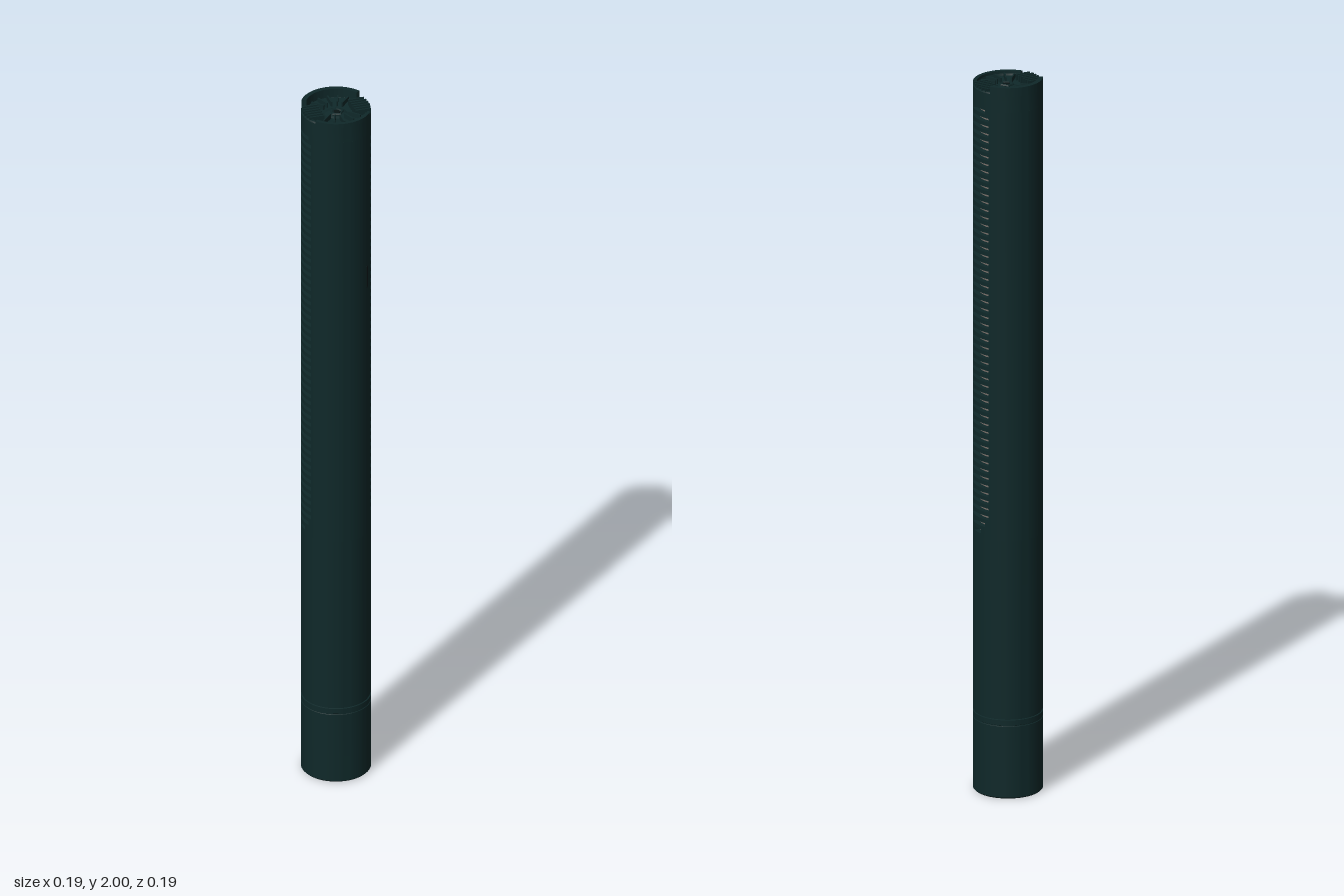
import * as THREE from 'three';
import { mergeGeometries, toCreasedNormals } from 'three/addons/utils/BufferGeometryUtils.js';

const R = 0.093, INNER = 0.079;
const SLOT_BOTTOM = 0.725, SLOT_TOP = 1.93, SLOTS = 56;
const SLOT_ANGLE = Math.asin(0.042 / R);

const bodyMat = new THREE.MeshStandardMaterial({ color: 0x0f2829 });
bodyMat.name = 'dark teal body';
const meshMat = new THREE.MeshStandardMaterial({ color: 0x7a706a });
meshMat.name = 'grey inner screen';
const darkMat = new THREE.MeshStandardMaterial({ color: 0x081415 });
darkMat.name = 'dark recess';

// Curved wall piece; angle 0 is +x and a quarter turn is the back (-z)
function sector(rIn, rOut, a0, a1, y, h, seg) {
  const s = new THREE.Shape();
  s.absarc(0, 0, rOut, a0, a1, false);
  s.absarc(0, 0, rIn, a1, a0, true);
  const g = new THREE.ExtrudeGeometry(s, { depth: h, bevelEnabled: false, curveSegments: seg });
  g.rotateX(-Math.PI / 2);
  g.translate(0, y, 0);
  return toCreasedNormals(g, 0.6);
}

function lathe(points, seg = 64) {
  return toCreasedNormals(new THREE.LatheGeometry(points.map(p => new THREE.Vector2(...p)), seg), 0.5);
}

export function createModel() {
  const root = new THREE.Group();
  root.name = 'slottedTube';
  const add = (name, geo, mat) => {
    const m = new THREE.Mesh(geo, mat);
    m.name = name;
    root.add(m);
    return m;
  };

  // Solid lower handle with two fine joint grooves
  add('handle', lathe([
    [0, 0], [R - 0.004, 0], [R, 0.004],
    [R, 0.203], [R - 0.0015, 0.204], [R - 0.0015, 0.206], [R, 0.207],
    [R, 0.221], [R - 0.003, 0.222], [R - 0.003, 0.227], [R, 0.228],
    [R, SLOT_BOTTOM], [0, SLOT_BOTTOM],
  ]), bodyMat);

  // Screen behind the slots
  const screen = new THREE.CylinderGeometry(INNER, INNER, SLOT_TOP - SLOT_BOTTOM, 48, 1, true);
  screen.translate(0, (SLOT_TOP + SLOT_BOTTOM) / 2, 0);
  add('innerScreen', screen, meshMat);

  // Front and back walls of the slotted section
  const wall = (name, turn) => add(name, sector(INNER - 0.002, R, turn + SLOT_ANGLE,
    turn + Math.PI - SLOT_ANGLE, SLOT_BOTTOM, SLOT_TOP - SLOT_BOTTOM, 24), bodyMat);
  wall('backWall', 0);
  wall('frontWall', Math.PI);

  // Ribs between the slots; the end slots are narrower
  const pitch = (SLOT_TOP - SLOT_BOTTOM) / SLOTS;
  for (const [name, turn] of [['leftRibs', 0], ['rightRibs', Math.PI]]) {
    const parts = [];
    for (let i = 0; i < SLOTS; i++) {
      const y = SLOT_BOTTOM + i * pitch;
      parts.push(sector(INNER - 0.002, R, turn - SLOT_ANGLE, turn + SLOT_ANGLE, y, pitch * 0.5, 8));
      const open = i === 0 ? 0.4 : i === 1 || i === SLOTS - 1 ? 0.75 : 1;
      if (open < 1) {
        for (const [a, b] of [[-1, -open], [open, 1]]) {
          parts.push(sector(INNER - 0.002, R, turn + a * SLOT_ANGLE, turn + b * SLOT_ANGLE,
            y + pitch * 0.5, pitch * 0.5, 4));
        }
      }
    }
    add(name, mergeGeometries(parts), bodyMat);
  }

  // Head collar with a recessed end face
  add('headCollar', lathe([
    [0, SLOT_TOP], [R, SLOT_TOP], [R, 1.979], [R - 0.003, 1.982],
    [R - 0.009, 1.982], [R - 0.012, 1.974], [0.03, 1.97], [0.018, 1.976], [0, 1.976],
  ]), bodyMat);

  // Raised rim around the back of the end face
  add('backRim', sector(0.08, R, Math.PI / 6, Math.PI * 5 / 6, 1.975, 0.025, 24), bodyMat);
  add('frontRim', sector(0.083, R, Math.PI * 1.2, Math.PI * 1.8, 1.975, 0.012, 24), bodyMat);

  // Parallel teeth on both sides of the end face
  const teeth = [];
  for (const side of [-1, 1]) {
    for (let i = 0; i < 6; i++) {
      const z = -0.029 + i * 0.0125;
      const outer = Math.sqrt(R * R - z * z) - 0.002;
      const g = new THREE.BoxGeometry(outer - 0.043, 0.02, 0.005);
      g.translate(side * (outer + 0.043) / 2, 1.979, z);
      teeth.push(g);
    }
  }
  add('sideTeeth', mergeGeometries(teeth), bodyMat);

  // Radial ribs towards the front and back
  const radial = [];
  for (const turn of [0, Math.PI]) {
    for (let i = -2; i <= 2; i++) {
      const g = new THREE.BoxGeometry(0.004, 0.014, 0.038);
      g.translate(0, 1.978, 0.055);
      g.rotateY(turn + i * 0.38);
      radial.push(g);
    }
  }
  add('radialRibs', mergeGeometries(radial), bodyMat);

  // Five-sided centre socket
  const hub = new THREE.TorusGeometry(0.016, 0.004, 6, 5);
  hub.rotateX(-Math.PI / 2);
  hub.translate(0, 1.977, 0.006);
  add('centreSocket', toCreasedNormals(hub, 0.5), bodyMat);
  const pin = new THREE.CylinderGeometry(0.011, 0.011, 0.004, 5);
  pin.translate(0, 1.976, 0.006);
  add('socketFloor', pin, darkMat);

  // Small upright mark on the front left of the wall
  const mark = new THREE.CapsuleGeometry(0.003, 0.06, 4, 10);
  mark.scale(1, 1, 0.4);
  mark.translate(0, 1.5, R);
  mark.rotateY(Math.PI / 4);
  add('indexMark', mark, darkMat);

  return root;
}
